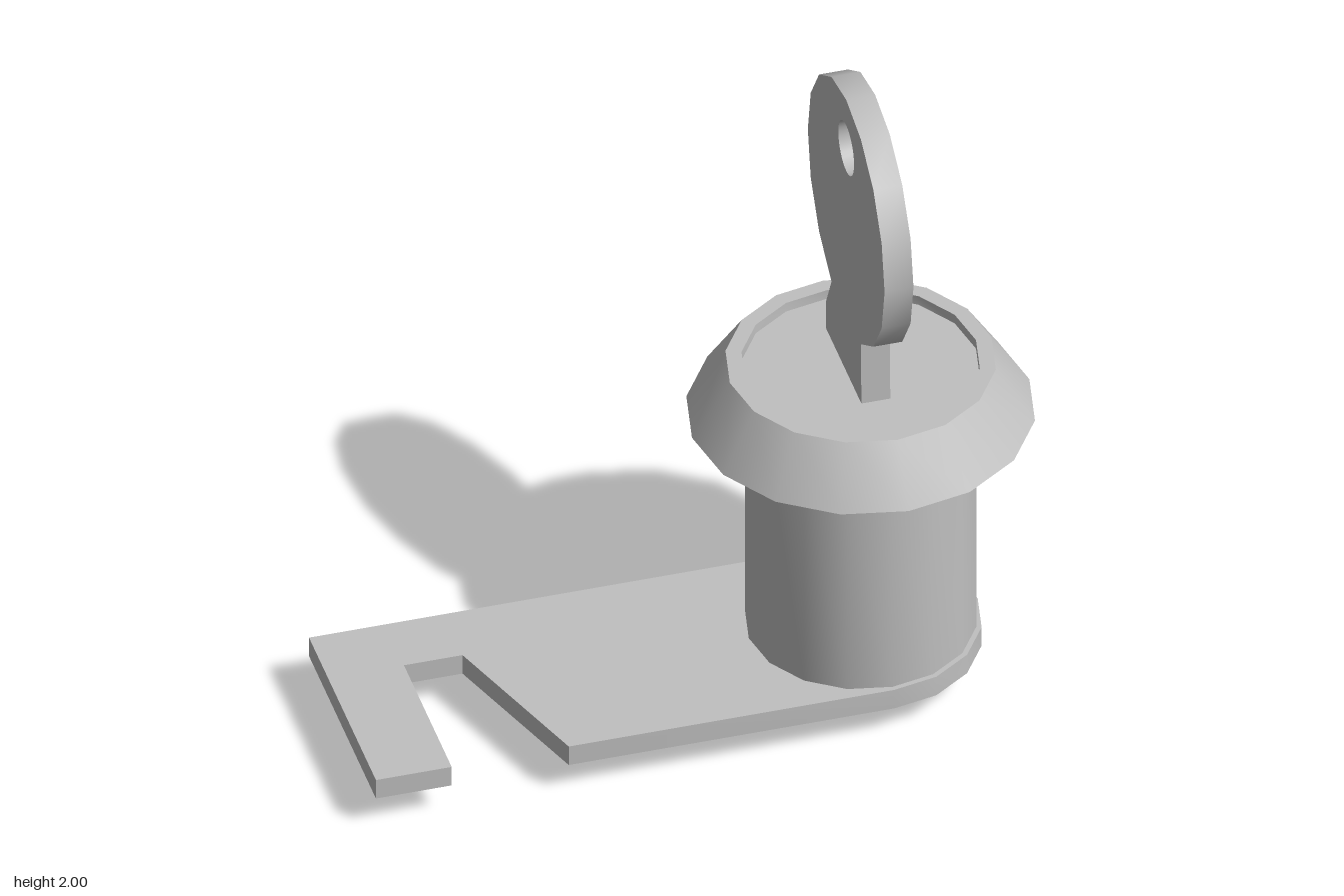
import * as THREE from 'three';
import { toCreasedNormals } from 'three/addons/utils/BufferGeometryUtils.js';

const SIDES = 16;
const AXIS_X = 0.505; // the lock stands off-centre, at the end of the arm

export function createModel() {
  const group = new THREE.Group();
  const steel = new THREE.MeshStandardMaterial({ color: 0xc0c0c0 });
  steel.name = 'steel grey';

  const add = (name, geometry, x = 0, crease = 0.6) => {
    const mesh = new THREE.Mesh(toCreasedNormals(geometry, crease), steel);
    mesh.name = name;
    mesh.position.x = x;
    group.add(mesh);
  };
  // Turned part: [radius, height] pairs, running up the outside
  const turned = (name, profile, crease) => {
    const points = profile.map(([r, y]) => new THREE.Vector2(r, y));
    add(name, new THREE.LatheGeometry(points, SIDES), AXIS_X, crease);
  };

  turned('boltHead', [[0, 0.005], [0.06, 0.005], [0.085, 0.02], [0.12, 0.055], [0.12, 0.075], [0, 0.075]], 0.75);
  turned('washer', [[0, 0.075], [0.215, 0.075], [0.215, 0.101], [0, 0.101]]);
  turned('barrel', [[0, 0.16], [0.325, 0.16], [0.325, 0.91], [0, 0.91]]);
  // Sloping collar with a raised rim around the recessed plug face
  turned('collar', [[0, 0.905], [0.49, 0.905], [0.38, 1.075], [0.335, 1.075], [0.335, 1.045], [0, 1.045]]);

  // Locking arm: hooked plate with a round end (shape y is -z)
  const arm = new THREE.Shape();
  arm.moveTo(-1, -0.34);
  arm.lineTo(-0.78, -0.34);
  arm.lineTo(-0.78, 0.145);
  arm.lineTo(-0.61, 0.145);
  arm.lineTo(-0.44, -0.34);
  for (let i = 0; i <= 8; i++) {
    const a = -Math.PI / 2 + (i / 8) * Math.PI;
    arm.lineTo(AXIS_X + 0.34 * Math.cos(a), 0.34 * Math.sin(a));
  }
  arm.lineTo(-1, 0.34);
  arm.closePath();
  const armGeometry = new THREE.ExtrudeGeometry(arm, { depth: 0.065, bevelEnabled: false });
  armGeometry.rotateX(-Math.PI / 2).translate(0, 0.1, 0);
  add('lockingArm', armGeometry);

  // Key: polygonal bow with a ring hole, and a shank stepped on one side
  const key = new THREE.Shape();
  key.moveTo(-0.155, 1.03);
  key.lineTo(0.205, 1.03);
  key.lineTo(0.205, 1.14);
  for (let i = -3; i <= 11; i++) {
    const a = (i / SIDES) * Math.PI * 2;
    key.lineTo(0.39 * Math.cos(a), 1.61 + 0.39 * Math.sin(a));
  }
  key.closePath();
  const ringHole = new THREE.Path();
  ringHole.absarc(0, 1.83, 0.08, 0, Math.PI * 2, true);
  key.holes.push(ringHole);
  const keyGeometry = new THREE.ExtrudeGeometry(key, { depth: 0.084, bevelEnabled: false, curveSegments: 16 });
  keyGeometry.translate(0, 0, -0.042).rotateY(Math.PI / 2);
  add('key', keyGeometry, AXIS_X);

  return group;
}
